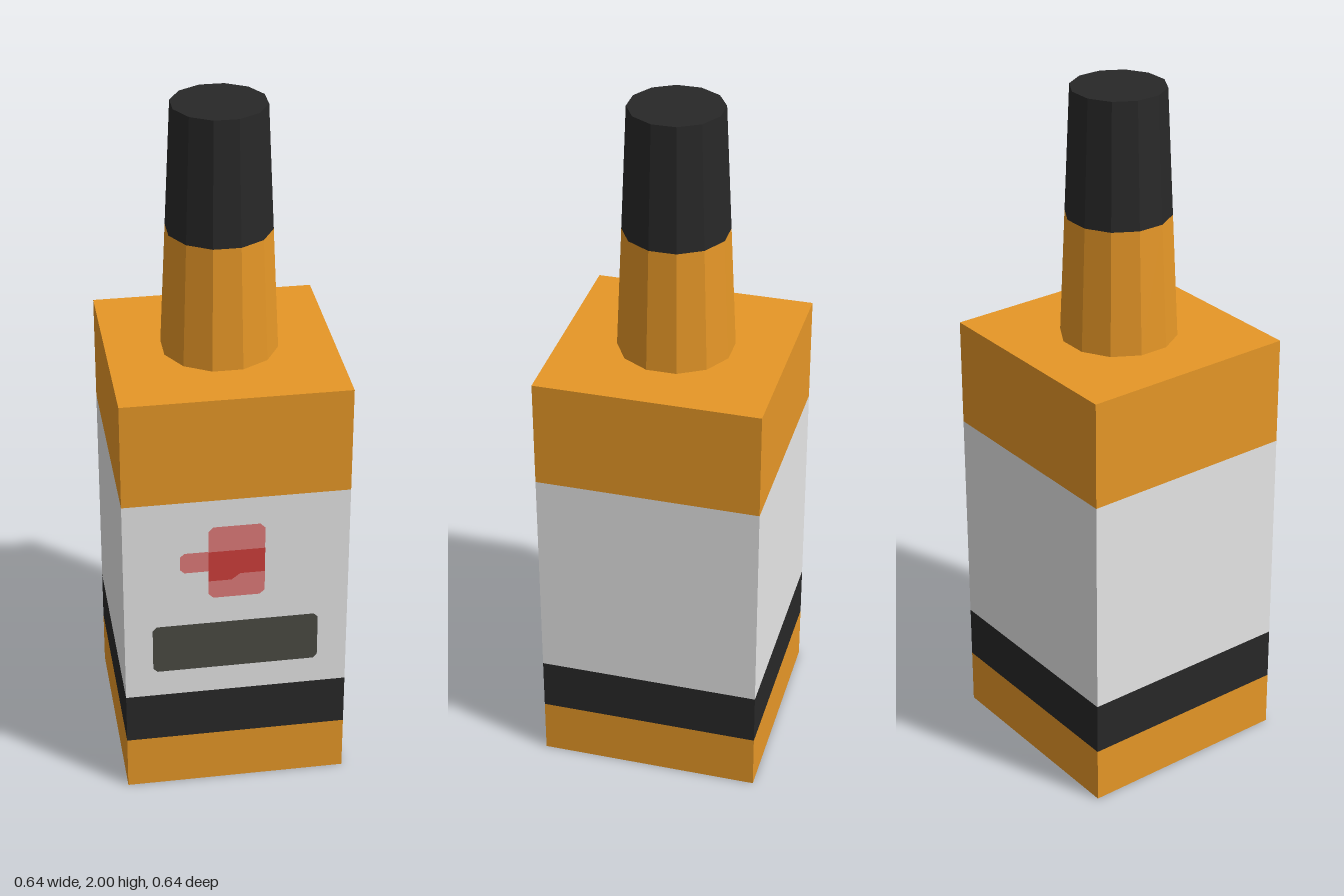
import * as THREE from 'three';

const paint = (name, color) => {
  const m = new THREE.MeshStandardMaterial({ color });
  m.name = name;
  return m;
};

export function createModel() {
  const amber = paint('amber', 0xe69727);
  const black = paint('black', 0x282828);
  const label = paint('label white', 0xe6e6e6);
  const paleRed = paint('pale red', 0xdf7b79);
  const red = paint('red', 0xcf3f3b);
  const olive = paint('dark olive', 0x4a4a43);

  const bottle = new THREE.Group();
  bottle.name = 'bottle';

  const add = (name, geometry, material) => {
    const mesh = new THREE.Mesh(geometry, material);
    mesh.name = name;
    bottle.add(mesh);
    return mesh;
  };

  // Open faceted ring with flat sides facing the axes; r is measured to the flat
  const ring = (name, sides, r0, r1, y0, y1, material) => {
    const k = 1 / Math.cos(Math.PI / sides);
    const g = new THREE.CylinderGeometry(r1 * k, r0 * k, y1 - y0, sides, 1, true)
      .rotateY(Math.PI / sides)
      .translate(0, (y0 + y1) / 2, 0)
      .toNonIndexed();
    g.computeVertexNormals();
    return add(name, g, material);
  };

  // Square body, in coloured bands
  const half = 0.32;
  ring('bodyBase', 4, half, half, 0, 0.165, amber);
  ring('blackStripe', 4, half, half, 0.165, 0.32, black);
  ring('labelBand', 4, half, half, 0.32, 0.965, label);
  ring('bodyTop', 4, half, half, 0.965, 1.28, amber);
  const square = () => new THREE.PlaneGeometry(2 * half, 2 * half);
  add('shoulder', square().rotateX(-Math.PI / 2).translate(0, 1.28, 0), amber);
  add('bottom', square().rotateX(Math.PI / 2), amber);

  // Tapered twelve-sided neck and stopper
  ring('neck', 12, 0.16, 0.144, 1.28, 1.64, amber);
  ring('stopper', 12, 0.144, 0.128, 1.64, 2, black);
  const topRadius = 0.128 / Math.cos(Math.PI / 12);
  add('stopperTop', new THREE.CircleGeometry(topRadius, 12)
    .rotateZ(Math.PI / 12).rotateX(-Math.PI / 2).translate(0, 2, 0), black);

  // Painted label details: thin faces with clipped corners
  const plate = (name, x0, x1, y0, y1, c, material, lift = 0.003) => {
    const s = new THREE.Shape();
    s.moveTo(x0 + c, y0).lineTo(x1 - c, y0).lineTo(x1, y0 + c).lineTo(x1, y1 - c);
    s.lineTo(x1 - c, y1).lineTo(x0 + c, y1).lineTo(x0, y1 - c).lineTo(x0, y0 + c);
    s.closePath();
    add(name, new THREE.ShapeGeometry(s).translate(0, 0, half + lift), material);
  };
  plate('labelPanel', -0.24, 0.235, 0.405, 0.56, 0.012, olive);
  plate('emblemBlock', -0.08, 0.08, 0.645, 0.88, 0.014, paleRed);
  plate('emblemTab', -0.16, -0.07, 0.735, 0.8, 0.012, paleRed, 0.002);

  // Darker centre of the emblem with a stepped lower edge
  const centre = new THREE.Shape([
    [-0.08, 0.703], [-0.015, 0.703], [0.01, 0.722], [0.08, 0.722], [0.08, 0.8], [-0.08, 0.8],
  ].map(([x, y]) => new THREE.Vector2(x, y)));
  add('emblemCentre', new THREE.ShapeGeometry(centre).translate(0, 0, half + 0.005), red);

  return bottle;
}
